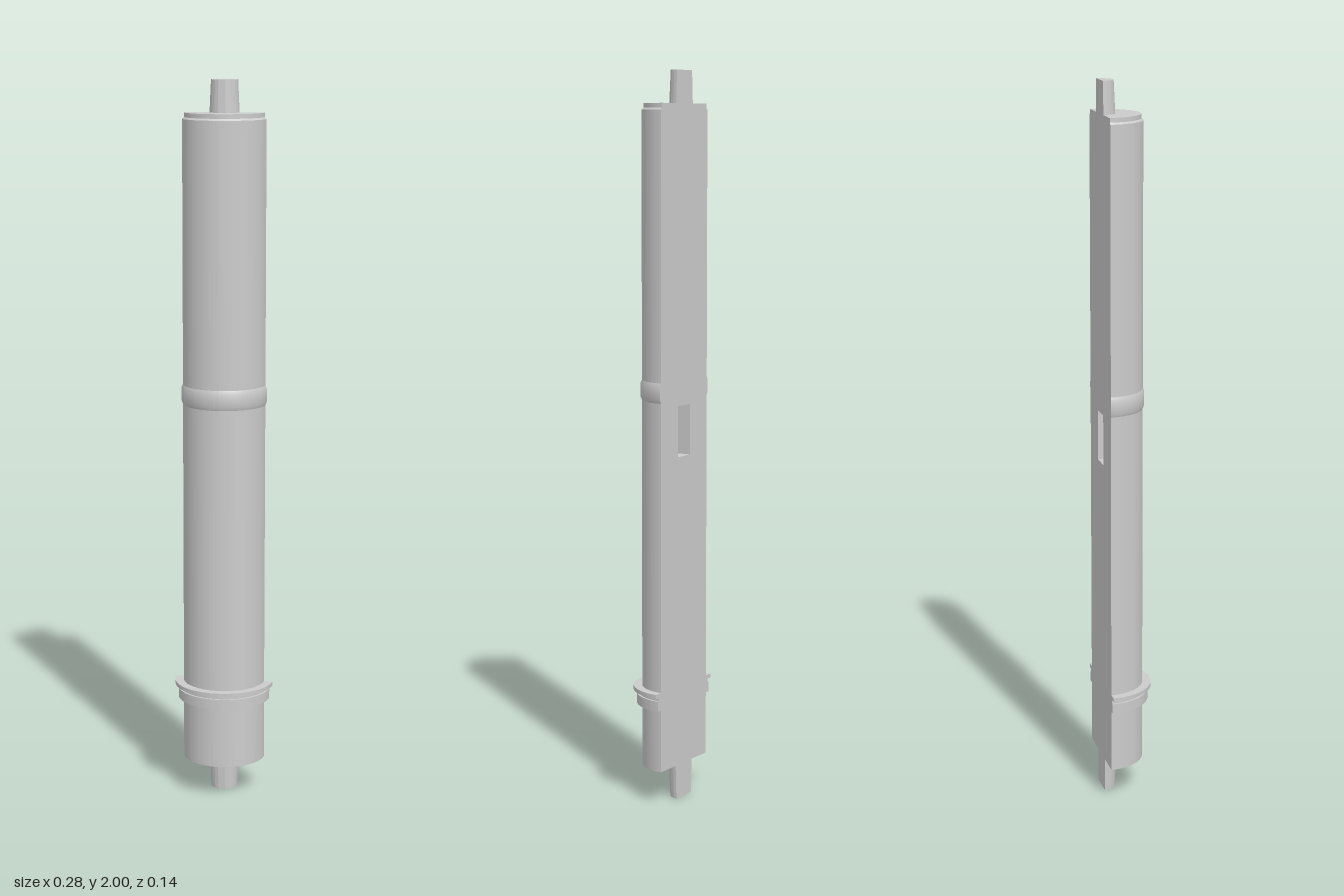
import * as THREE from 'three';
import { toCreasedNormals } from 'three/addons/utils/BufferGeometryUtils.js';

const BACK = -0.07; // plane of the flat cut face

export function createModel() {
  const model = new THREE.Group();
  const grey = new THREE.MeshStandardMaterial({ color: 0xcccccc });
  const inside = new THREE.MeshStandardMaterial({ color: 0xcccccc, side: THREE.BackSide });

  // Half-turned part: curved front from a bottom-to-top profile plus its flat cut face
  function halfTurned(name, profile, holes = []) {
    const part = new THREE.Group();
    part.name = name;
    const pts = profile.map(([r, y]) => new THREE.Vector2(r, y));
    const mirrored = pts.map((p) => new THREE.Vector2(-p.x, p.y)).reverse();
    const curved = new THREE.LatheGeometry(pts, 64, -Math.PI / 2, Math.PI);
    const front = new THREE.Mesh(toCreasedNormals(curved, 0.5), grey);
    front.name = name + 'Curve';

    const solid = pts[0].x === 0;
    const shapes = solid
      ? [new THREE.Shape([...pts, ...mirrored.slice(1, -1)])]
      : [new THREE.Shape(pts), new THREE.Shape(mirrored)];
    shapes[0].holes.push(...holes);
    const back = new THREE.Mesh(new THREE.ShapeGeometry(shapes).rotateY(Math.PI), grey);
    back.name = name + 'CutFace';
    part.add(front, back);
    part.position.z = BACK;
    model.add(part);
  }

  // Main body with stepped top shoulder and a slot in the cut face
  const slot = { w: 0.06, h: 0.14, d: 0.08, y: 1.03 };
  const x = slot.w / 2, y0 = slot.y - slot.h / 2, y1 = slot.y + slot.h / 2;
  const opening = new THREE.Path([[-x, y0], [-x, y1], [x, y1], [x, y0]]
    .map(([a, b]) => new THREE.Vector2(a, b)));
  halfTurned('body', [
    [0, 0.095], [0.115, 0.095], [0.115, 1.895], [0.11, 1.9], [0.11, 1.912], [0, 1.912],
  ], [opening]);

  // Slot walls: a box seen from inside, open at the cut face
  const pocket = new THREE.BoxGeometry(slot.w, slot.h, slot.d);
  pocket.setIndex(Array.from(pocket.index.array).slice(0, 30));
  const slotWalls = new THREE.Mesh(pocket, inside);
  slotWalls.name = 'slotWalls';
  slotWalls.position.set(0, slot.y, BACK + slot.d / 2);
  model.add(slotWalls);

  // End pins, slightly tapered
  halfTurned('bottomPin', [[0, 0], [0.037, 0], [0.041, 0.095], [0, 0.095]]);
  halfTurned('topPin', [[0, 1.912], [0.041, 1.912], [0.037, 2], [0, 2]]);

  // Low bead around the middle
  halfTurned('middleBead', [
    [0.115, 1.115], [0.119, 1.125], [0.119, 1.16], [0.115, 1.17],
  ]);

  // Collar: lower band, groove and thin upper flange
  halfTurned('collar', [
    [0.115, 0.27], [0.13, 0.27], [0.13, 0.298], [0.124, 0.298],
    [0.124, 0.308], [0.139, 0.308], [0.139, 0.319], [0.115, 0.319],
  ]);

  return model;
}
